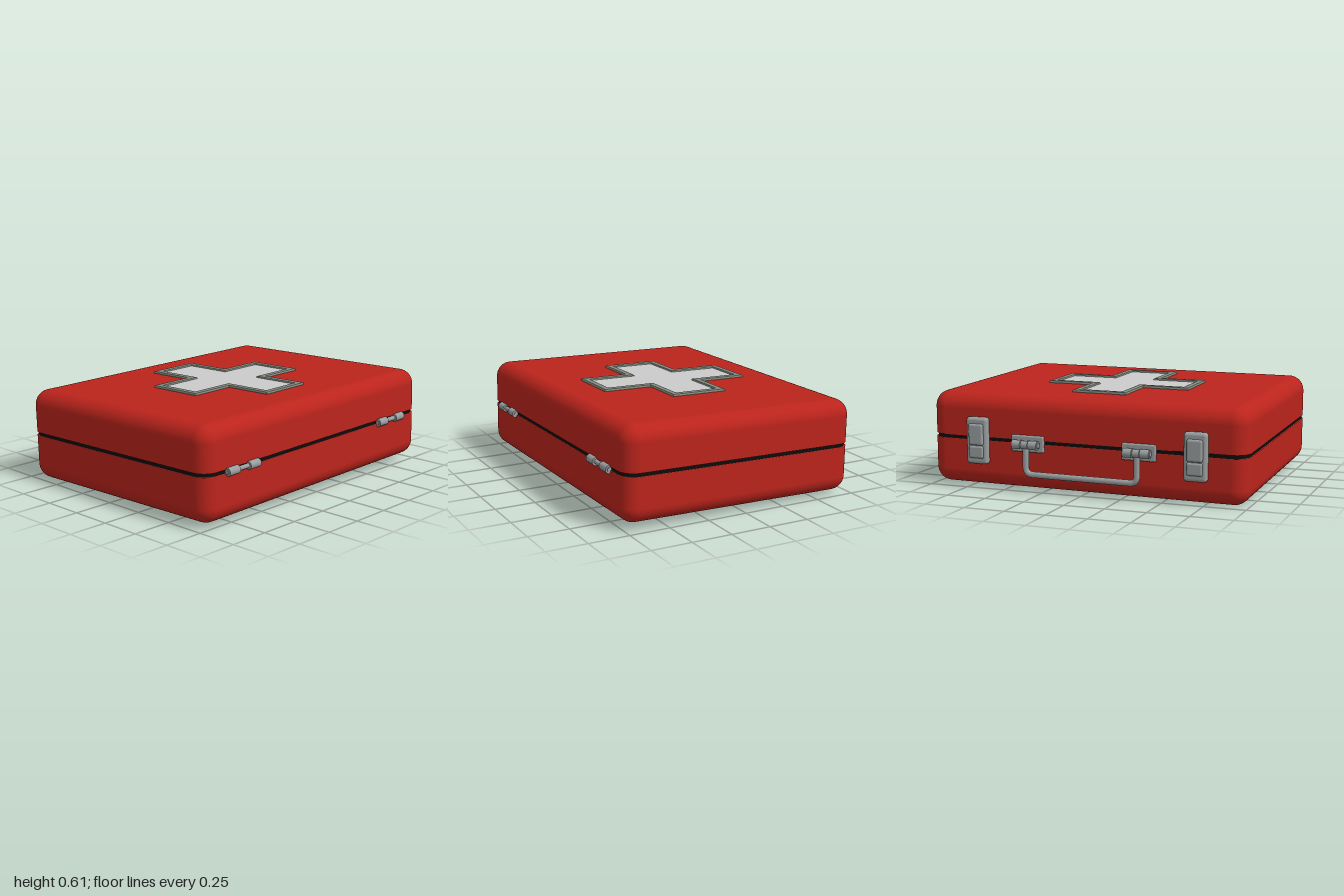
import * as THREE from 'three';
import { RoundedBoxGeometry } from 'three/addons/geometries/RoundedBoxGeometry.js';

const W = 1.99, H = 0.565, D = 1.52, R = 0.095;
const SEAM = 0.01, GAP = 0.011, BACK = -D / 2;

const material = (color) => {
  const m = new THREE.MeshStandardMaterial();
  m.color.set(color);
  return m;
};

export function createModel() {
  const red = material(0xbb241c), black = material(0x0c0c0c);
  const metal = material(0x9a9e9e), trim = material(0x828a7e), pale = material(0xcccccc);
  const model = new THREE.Group();
  model.name = 'firstAidCase';
  const body = new THREE.Group();
  body.name = 'body';
  model.add(body);

  const add = (parent, name, geometry, mat, x = 0, y = 0, z = 0) => {
    const mesh = new THREE.Mesh(geometry, mat);
    mesh.name = name;
    mesh.position.set(x, y, z);
    parent.add(mesh);
    return mesh;
  };
  const group = (name, x, y, z) => {
    const g = new THREE.Group();
    g.name = name;
    g.position.set(x, y, z);
    body.add(g);
    return g;
  };
  const rod = (r, length) => new THREE.CylinderGeometry(r, r, length, 20).rotateZ(Math.PI / 2);

  // Case halves: a rounded box flattened at the seam
  const slice = (lo, hi, inset = 0) => {
    const g = new RoundedBoxGeometry(W - inset, H, D - inset, 6, R);
    const p = g.attributes.position;
    for (let i = 0; i < p.count; i++) p.setY(i, THREE.MathUtils.clamp(p.getY(i), lo, hi));
    return g;
  };
  add(body, 'lid', slice(SEAM + GAP, H), red);
  add(body, 'base', slice(-H, SEAM - GAP), red);
  add(body, 'seal', slice(SEAM - GAP - 0.01, SEAM + GAP + 0.01, 0.014), black);

  // Cross on the lid: bevelled frame around a flat panel
  const crossPoints = (inset) => {
    const a = 0.4625 - inset, b = 0.49 - inset, u = 0.172 - inset, v = 0.18 - inset;
    return [[u, v], [u, b], [-u, b], [-u, v], [-a, v], [-a, -v],
      [-u, -v], [-u, -b], [u, -b], [u, -v], [a, -v], [a, v]].map(([x, y]) => new THREE.Vector2(x, y));
  };
  const frameShape = new THREE.Shape(crossPoints(0));
  frameShape.holes.push(new THREE.Path(crossPoints(0.043).reverse()));
  const frame = new THREE.ExtrudeGeometry(frameShape, {
    depth: 0.012, bevelThickness: 0.008, bevelSize: 0.01, bevelOffset: -0.01, bevelSegments: 2,
  }).rotateX(-Math.PI / 2);
  add(body, 'crossFrame', frame, trim, -0.003, H / 2 - 0.005, -0.01);
  const panel = new THREE.ExtrudeGeometry(new THREE.Shape(crossPoints(0.03)), {
    depth: 0.012, bevelEnabled: false,
  }).rotateX(-Math.PI / 2);
  add(body, 'crossPanel', panel, pale, -0.003, H / 2 - 0.008, -0.01);

  // Hinges on the front seam
  for (const x of [-0.7, 0.68]) {
    const hinge = group('hinge', x, SEAM - 0.005, D / 2 + 0.003);
    add(hinge, 'pin', rod(0.014, 0.265), metal);
    for (const s of [-1, 1]) add(hinge, 'knuckle', rod(0.025, 0.085), metal, s * 0.085);
  }

  // Latches on the back
  for (const x of [-0.7, 0.67]) {
    const latch = group('latch', x, 0, BACK);
    add(latch, 'latchPlate', new RoundedBoxGeometry(0.14, 0.285, 0.05, 4, 0.02), metal, 0, 0, -0.012);
    add(latch, 'latchLever', new RoundedBoxGeometry(0.095, 0.13, 0.03, 4, 0.014), metal, 0, 0.04, -0.038);
    add(latch, 'latchCatch', new RoundedBoxGeometry(0.095, 0.075, 0.026, 4, 0.012), metal, 0, -0.067, -0.036);
  }

  // Handle mounts: plate, pivot and a pair of knuckles
  const pivotZ = BACK - 0.042;
  for (const x of [-0.355, 0.345]) {
    const mount = group('handleMount', x, 0, 0);
    add(mount, 'mountPlate', new RoundedBoxGeometry(0.21, 0.1, 0.024, 3, 0.01), metal, 0, 0, BACK - 0.003);
    add(mount, 'pivot', rod(0.017, 0.17), metal, 0, 0, pivotZ);
    for (const s of [-1, 1]) {
      add(mount, 'mountKnuckle', rod(0.027, 0.055), metal, s * 0.053, 0, pivotZ);
      add(mount, 'knuckleFoot', new THREE.BoxGeometry(0.045, 0.036, 0.04), metal, s * 0.053, 0, BACK - 0.02);
    }
  }

  // Hanging handle with rounded corners
  const V = (x, y) => new THREE.Vector3(x, y, 0);
  const left = -0.355, right = 0.345, low = -0.178, c = 0.045;
  const path = new THREE.CurvePath();
  path.add(new THREE.LineCurve3(V(left, 0.005), V(left, low + c)));
  path.add(new THREE.QuadraticBezierCurve3(V(left, low + c), V(left, low), V(left + c, low)));
  path.add(new THREE.LineCurve3(V(left + c, low), V(right - c, low)));
  path.add(new THREE.QuadraticBezierCurve3(V(right - c, low), V(right, low), V(right, low + c)));
  path.add(new THREE.LineCurve3(V(right, low + c), V(right, 0.005)));
  add(body, 'handle', new THREE.TubeGeometry(path, 120, 0.019, 12), metal, 0, 0, BACK - 0.035);
  for (const x of [left, right]) add(body, 'handleEye', rod(0.024, 0.042), metal, x, 0, pivotZ);

  // The case rests at a slight tilt
  body.rotation.set(-0.02, 0.005, 0.0085);
  body.position.set(0, 0.302, 0.02);
  return model;
}
